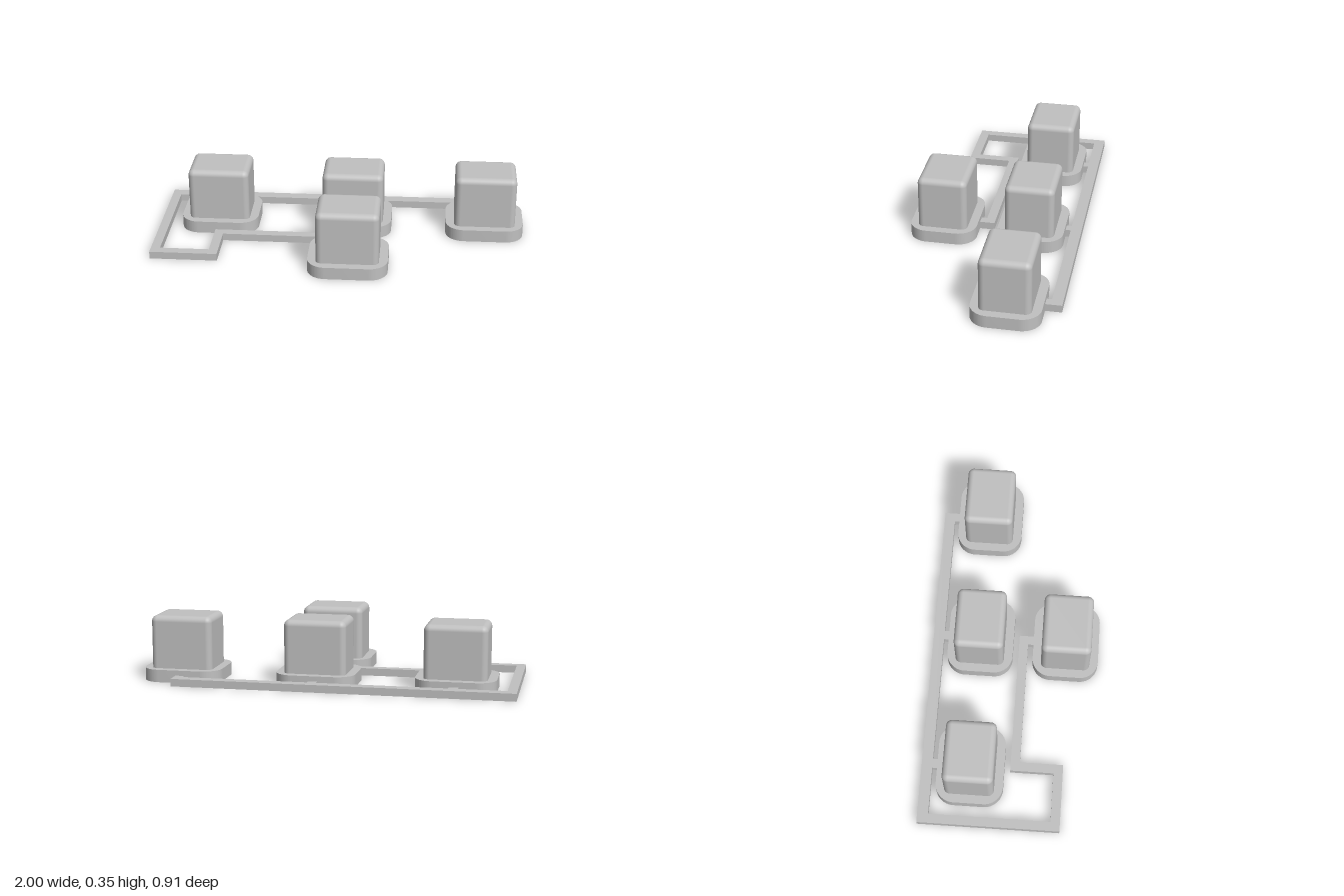
import * as THREE from 'three';
import { toCreasedNormals } from 'three/addons/utils/BufferGeometryUtils.js';
import { RoundedBoxGeometry } from 'three/addons/geometries/RoundedBoxGeometry.js';

const BASE_H = 0.067, TOP = 0.35, FRAME_H = 0.04;

// Extrudes a ground-plan shape upwards from y = 0; shape y becomes -z
function extrudeUp(shape, height) {
  const g = new THREE.ExtrudeGeometry(shape, { depth: height, bevelEnabled: false, curveSegments: 16 });
  g.rotateX(-Math.PI / 2);
  return toCreasedNormals(g, 0.5);
}

// Rounded flange with a round socket underneath
function baseGeometry(w, d, r, holeR) {
  const x = w / 2, y = d / 2, s = new THREE.Shape();
  s.absarc(x - r, y - r, r, 0, Math.PI / 2);
  s.absarc(-x + r, y - r, r, Math.PI / 2, Math.PI);
  s.absarc(-x + r, -y + r, r, Math.PI, Math.PI * 1.5);
  s.absarc(x - r, -y + r, r, Math.PI * 1.5, Math.PI * 2);
  s.closePath();
  s.holes.push(new THREE.Path().absarc(0, 0, holeR, 0, Math.PI * 2, true));
  return extrudeUp(s, BASE_H);
}

// Button body: filleted box with its underside flattened onto the flange
function capGeometry(w, d, r) {
  const h = TOP - BASE_H + r;
  const g = new RoundedBoxGeometry(w, h, d, 5, r);
  g.translate(0, TOP - h / 2, 0);
  const p = g.attributes.position;
  for (let i = 0; i < p.count; i++) p.setY(i, Math.max(p.getY(i), BASE_H));
  return g;
}

export function createModel() {
  const model = new THREE.Group();
  model.name = 'buttonSet';
  const grey = new THREE.MeshStandardMaterial({ color: 0xc0c0c0 });
  grey.name = 'light grey';

  const add = (parent, name, geometry) => {
    const m = new THREE.Mesh(geometry, grey);
    m.name = name;
    parent.add(m);
  };

  // Four buttons: three in the back row, one in front
  const base = baseGeometry(0.424, 0.359, 0.1, 0.113);
  const cap = capGeometry(0.332, 0.266, 0.032);
  const buttons = [
    ['backRightButton', -0.675, -0.191],
    ['backMiddleButton', 0.063, -0.191],
    ['backLeftButton', 0.788, -0.191],
    ['frontButton', 0.063, 0.279],
  ];
  for (const [name, x, z] of buttons) {
    const button = new THREE.Group();
    button.name = name;
    button.position.set(x, 0, z);
    add(button, 'buttonBase', base);
    add(button, 'buttonCap', cap);
    model.add(button);
  }

  // Flat connecting frame, outlined as [x, z] and including the short links
  const outline = [
    [-1, -0.456], [0.806, -0.456], [0.806, -0.362], [0.757, -0.362], [0.757, -0.398],
    [0.085, -0.398], [0.085, -0.362], [0.036, -0.362], [0.036, -0.398],
    [-0.65, -0.398], [-0.65, -0.362], [-0.7, -0.362], [-0.7, -0.398],
    [-0.951, -0.398], [-0.951, 0.252], [-0.687, 0.252], [-0.687, 0.02],
    [0.085, 0.02], [0.085, 0.108], [0.036, 0.108], [0.036, 0.069],
    [-0.638, 0.069], [-0.638, 0.302], [-1, 0.302],
  ];
  const frame = new THREE.Shape(outline.map(([x, z]) => new THREE.Vector2(x, -z)));
  add(model, 'connectingFrame', extrudeUp(frame, FRAME_H));

  return model;
}
